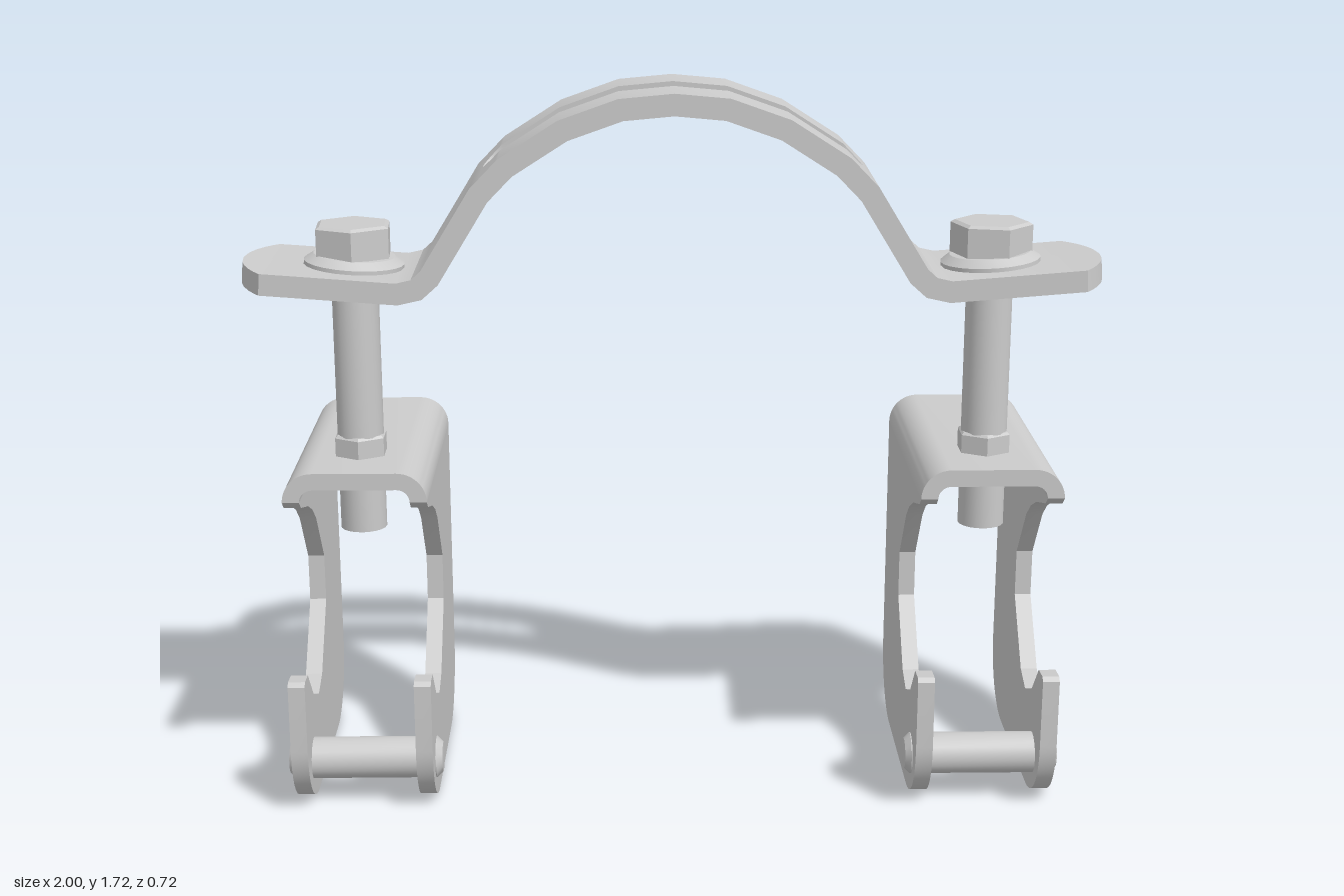
import * as THREE from 'three';
import { toCreasedNormals } from 'three/addons/utils/BufferGeometryUtils.js';

const material = new THREE.MeshStandardMaterial({ color: 0xcccccc });
const BOLT_X = 0.743, BOLT_Z = 0.135, T = 0.04, HALF = 0.168;

function part(name, geometry, x = 0, y = 0, z = 0) {
  const mesh = new THREE.Mesh(toCreasedNormals(geometry, 0.5), material);
  mesh.name = name;
  mesh.position.set(x, y, z);
  return mesh;
}

// Bent strap: a swept rectangular section with round ends and a central slot
function strapGeometry() {
  const half = [[0, 1.695], [0.12, 1.684], [0.25, 1.638], [0.38, 1.555], [0.44, 1.493],
    [0.555, 1.305], [0.585, 1.278], [0.63, 1.268], [1, 1.296]];
  const line = [...half.slice(1).reverse().map(([x, y]) => [-x, y]), ...half]
    .map(([x, y]) => new THREE.Vector2(x, y));
  // Mitred offset at every bend
  const offsets = line.map((p, i) => {
    const a = line[Math.max(i - 1, 0)], b = line[Math.min(i + 1, line.length - 1)];
    const n = [[a, p], [p, b]].filter(([u, v]) => u !== v).map(([u, v]) => {
      const d = v.clone().sub(u).normalize();
      return new THREE.Vector2(-d.y, d.x);
    });
    const m = n[0].clone().add(n[n.length - 1]).normalize();
    return m.multiplyScalar(0.025 / m.dot(n[0]));
  });
  const extra = [0.385, 0.4, 0.41, 0.417, 0.42, 0.94, 0.955, 0.97, 0.985, 0.995];
  const xs = [...line.map(p => p.x), ...extra, ...extra.map(x => -x)].sort((a, b) => a - b);
  const stations = xs.map(x => {
    let i = 0;
    while (i < line.length - 2 && line[i + 1].x < x) i++;
    const t = (x - line[i].x) / (line[i + 1].x - line[i].x);
    const c = line[i].clone().lerp(line[i + 1], t);
    const o = offsets[i].clone().lerp(offsets[i + 1], t);
    const ax = Math.abs(x);
    const w = ax < 0.94 ? 0.172 : Math.sqrt(Math.max(0, 0.0729 - (ax - 0.73) ** 2));
    const e = Math.max(0, (ax - 0.385) / 0.035);
    const s = e < 1 ? 0.042 * Math.sqrt(1 - e * e) : 0;
    return { c, o, w, s };
  });
  const pos = [];
  for (const side of [1, -1]) {
    const loop = ({ c, o, w, s }) => [[1, s], [1, w], [-1, w], [-1, s]]
      .map(([k, z]) => [c.x + k * o.x, c.y + k * o.y, BOLT_Z + side * z]);
    for (let i = 0; i < stations.length - 1; i++) {
      const p = loop(stations[i]), q = loop(stations[i + 1]);
      for (let k = 0; k < 4; k++) {
        if (k === 3 && stations[i].s + stations[i + 1].s === 0) continue;
        const n = (k + 1) % 4;
        const quad = [p[k], p[n], q[n], q[k]];
        if (side < 0) quad.reverse();
        for (const j of [0, 1, 2, 0, 2, 3]) pos.push(...quad[j]);
      }
    }
  }
  const g = new THREE.BufferGeometry();
  g.setAttribute('position', new THREE.Float32BufferAttribute(pos, 3));
  g.computeVertexNormals();
  return g;
}

// Hooked side plate, drawn in (z, y) and extruded through its thickness
function hookGeometry() {
  const s = new THREE.Shape();
  const jaw = [[-0.36, 0.775], [0.31, 0.775], [0.285, 0.755], [0.17, 0.722], [0.1, 0.69],
    [0.045, 0.65], [-0.065, 0.515], [-0.065, 0.4], [0.065, 0.25], [0.135, 0.226],
    [0.22, 0.26], [0.3, 0.342], [0.35, 0.345], [0.36, 0.335], [0.36, 0.17]];
  jaw.reverse().forEach(([z, y], i) => (i ? s.lineTo(z, y) : s.moveTo(z, y)));
  s.absarc(-0.19, 0.17, 0.17, Math.PI, Math.PI * 1.5, false);
  s.absarc(0.19, 0.17, 0.17, Math.PI * 1.5, Math.PI * 2, false);
  return new THREE.ExtrudeGeometry(s, { depth: T, bevelEnabled: false, curveSegments: 8 })
    .rotateY(-Math.PI / 2);
}

// Rounded bridge joining the two side plates
function bridgeGeometry() {
  const R = 0.07, r = R - T, top = 0.845, c = HALF - R, y0 = 0.775, q = Math.PI / 2;
  const s = new THREE.Shape();
  s.moveTo(HALF, y0);
  s.absarc(c, top - R, R, 0, q, false);
  s.absarc(-c, top - R, R, q, Math.PI, false);
  s.lineTo(-HALF + T, y0);
  s.absarc(-c, top - R, r, Math.PI, q, true);
  s.absarc(c, top - R, r, q, 0, true);
  return new THREE.ExtrudeGeometry(s, { depth: 0.67, bevelEnabled: false, curveSegments: 6 })
    .translate(0, 0, -0.36);
}

function lathe(points, segments) {
  return new THREE.LatheGeometry(points.map(p => new THREE.Vector2(...p)), segments);
}

function clamp(side) {
  const g = new THREE.Group();
  g.name = side > 0 ? 'leftClamp' : 'rightClamp';
  g.position.x = side * BOLT_X;
  const hook = hookGeometry();
  g.add(part('channelBridge', bridgeGeometry()),
    part('outerHook', hook, HALF), part('innerHook', hook, -HALF + T));

  // Cross pin with domed heads
  const pin = lathe([[0, -0.187], [0.036, -0.184], [0.05, -0.17], [0.05, 0.17],
    [0.036, 0.184], [0, 0.187]], 20).rotateZ(Math.PI / 2);
  g.add(part('crossPin', pin, 0, 0.11, 0.255));

  // Bolt with pointed tip, flanged hex head and lock nut
  const bolt = new THREE.Group();
  bolt.name = 'bolt';
  bolt.position.z = BOLT_Z;
  const shank = lathe([[0, 0.643], [0.02, 0.662], [0.055, 0.662], [0.055, 1.32]], 20);
  const head = lathe([[0, 0], [0.096, 0], [0.096, 0.07], [0.086, 0.076], [0, 0.076]], 6);
  head.rotateY(side > 0 ? 0.3 : 0.06);
  const nut = lathe([[0, 0], [0.066, 0], [0.066, 0.046], [0.06, 0.052], [0, 0.052]], 6);
  const washer = part('flange', lathe([[0, 0], [0.117, 0], [0.117, 0.01], [0.095, 0.026],
    [0, 0.026]], 24), 0, 1.301);
  washer.rotation.z = side * 0.075;
  bolt.add(part('shank', shank), part('hexHead', head, 0, 1.324),
    part('lockNut', nut, 0, 0.843), washer);
  g.add(bolt);
  return g;
}

export function createModel() {
  const model = new THREE.Group();
  model.name = 'strapClamp';
  model.add(part('slottedStrap', strapGeometry()), clamp(1), clamp(-1));
  return model;
}
